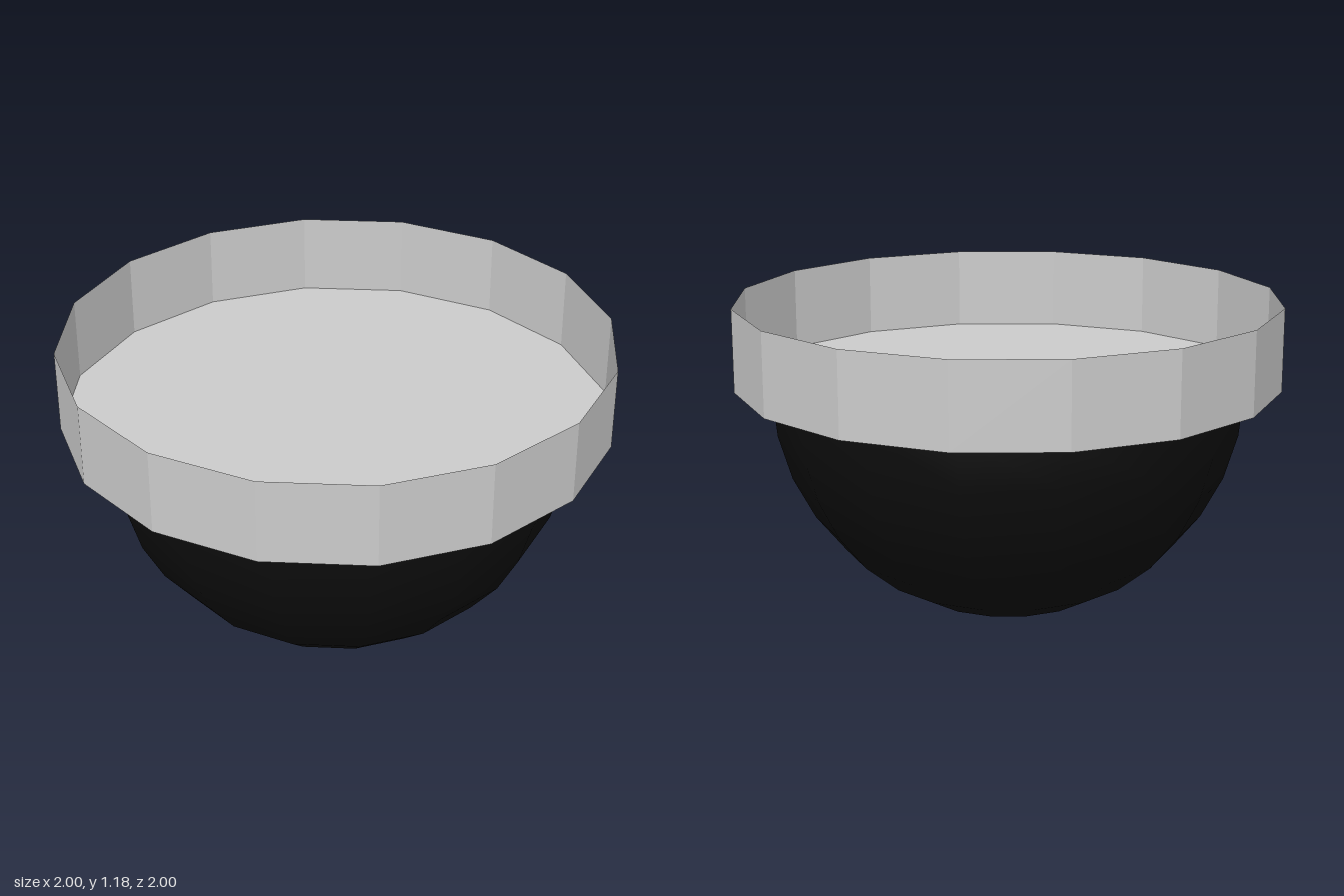
import * as THREE from 'three';

const SIDES = 16;
const FLOOR_Y = 0.872;
const WALL_HEIGHT = 0.305;
const BOWL_RADIUS = 0.867;

export function createModel() {
  const model = new THREE.Group();
  model.name = 'roundBowlWithRim';

  const grey = new THREE.MeshStandardMaterial({
    color: 0xcccccc, flatShading: true, side: THREE.DoubleSide,
  });
  const black = new THREE.MeshStandardMaterial({ color: 0x0d0d0d });

  const add = (name, geometry, material, y) => {
    const mesh = new THREE.Mesh(geometry, material);
    mesh.name = name;
    mesh.position.y = y;
    model.add(mesh);
  };

  // Thin faceted wall, open at the top
  add('rimWall', new THREE.CylinderGeometry(1, 1, WALL_HEIGHT, SIDES, 1, true),
    grey, FLOOR_Y + WALL_HEIGHT / 2);

  // Flat floor closing the bottom of the wall
  add('floor', new THREE.CircleGeometry(1, SIDES).rotateX(-Math.PI / 2), grey, FLOOR_Y);

  // Smooth lower half sphere hanging under the floor
  add('bowl', new THREE.SphereGeometry(BOWL_RADIUS, SIDES, 8, 0, Math.PI * 2, Math.PI / 2, Math.PI / 2)
    .scale(1, FLOOR_Y / BOWL_RADIUS, 1), black, FLOOR_Y);

  return model;
}
